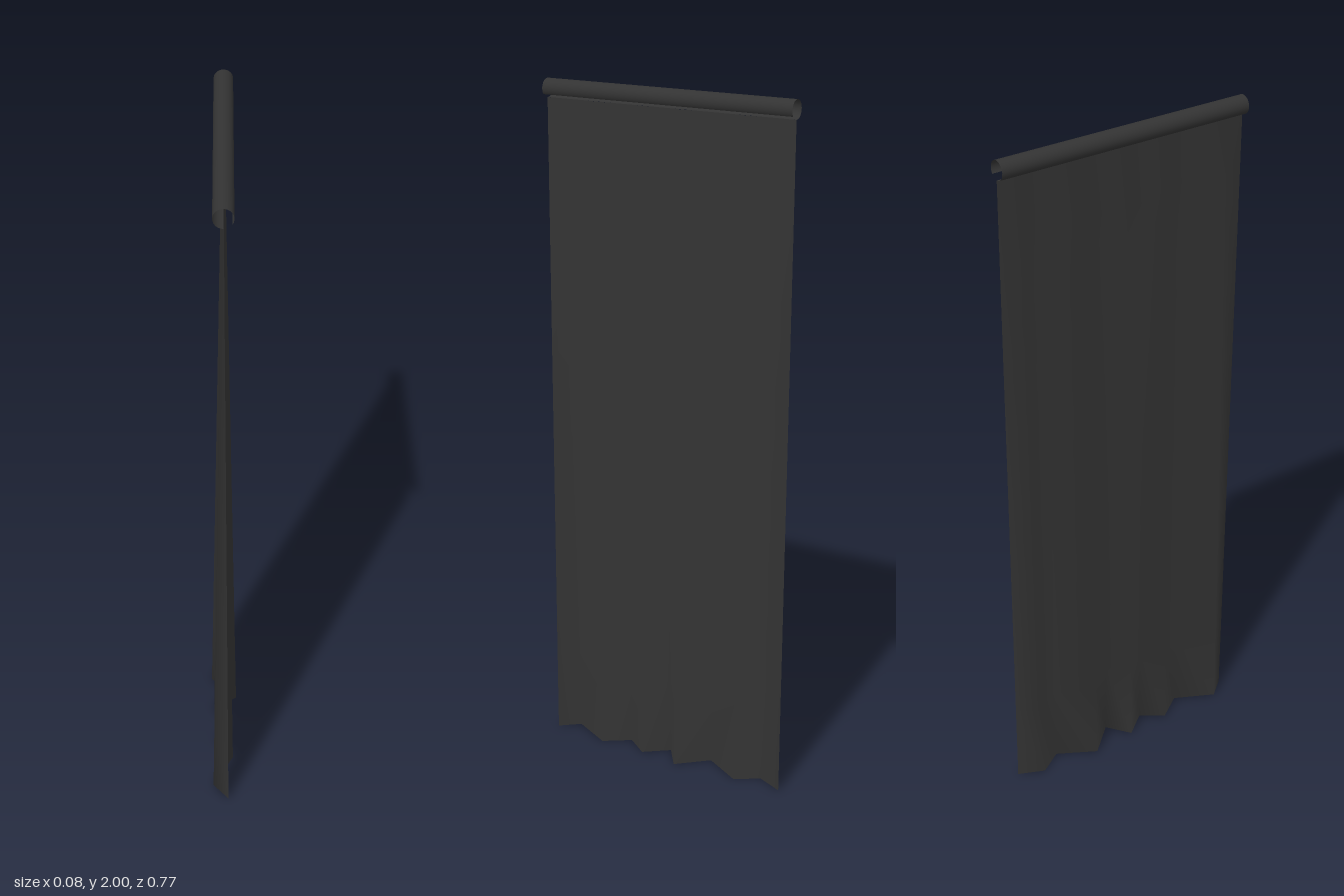
import * as THREE from 'three';

const RADIUS = 0.0265;
const CURL_X = -0.003;
const CURL_Y = 2 - RADIUS;
const WIDTH = 0.77;
const TOP = CURL_Y - RADIUS;

// Fold line along the hem: [z, x] from the front edge to the back edge
const HEM = [
  [0.385, 0.012], [0.33, -0.033], [0.215, 0.026], [0.14, -0.025], [0.075, 0.022],
  [0.005, -0.032], [-0.045, 0.037], [-0.13, -0.04], [-0.24, 0.023], [-0.31, -0.02],
  [-0.385, 0.014],
];

export function createModel() {
  const group = new THREE.Group();
  const cloth = new THREE.MeshStandardMaterial({ color: 0x333333, side: THREE.DoubleSide });

  // Hanging sheet: pleats deepen evenly from the straight top to the hem
  const rows = 8;
  const sheetGeo = new THREE.PlaneGeometry(1, 1, HEM.length - 1, rows);
  const pos = sheetGeo.attributes.position;
  for (let i = 0; i < pos.count; i++) {
    const [z, x] = HEM[i % HEM.length];
    const t = Math.floor(i / HEM.length) / rows;
    pos.setXYZ(i, THREE.MathUtils.lerp(CURL_X + x * 0.1, x, t), TOP * (1 - t), z);
  }
  sheetGeo.computeVertexNormals();
  const sheet = new THREE.Mesh(sheetGeo, cloth);
  sheet.name = 'pleatedSheet';
  group.add(sheet);

  // Rolled top edge: an open sleeve with a gap at its lower left side
  const gap = THREE.MathUtils.degToRad(53);
  const curlGeo = new THREE.CylinderGeometry(RADIUS, RADIUS, WIDTH, 20, 1, true, gap, Math.PI * 2 - gap);
  curlGeo.rotateX(Math.PI / 2);
  const curl = new THREE.Mesh(curlGeo, cloth);
  curl.name = 'topSleeve';
  curl.position.set(CURL_X, CURL_Y, 0);
  group.add(curl);

  return group;
}
